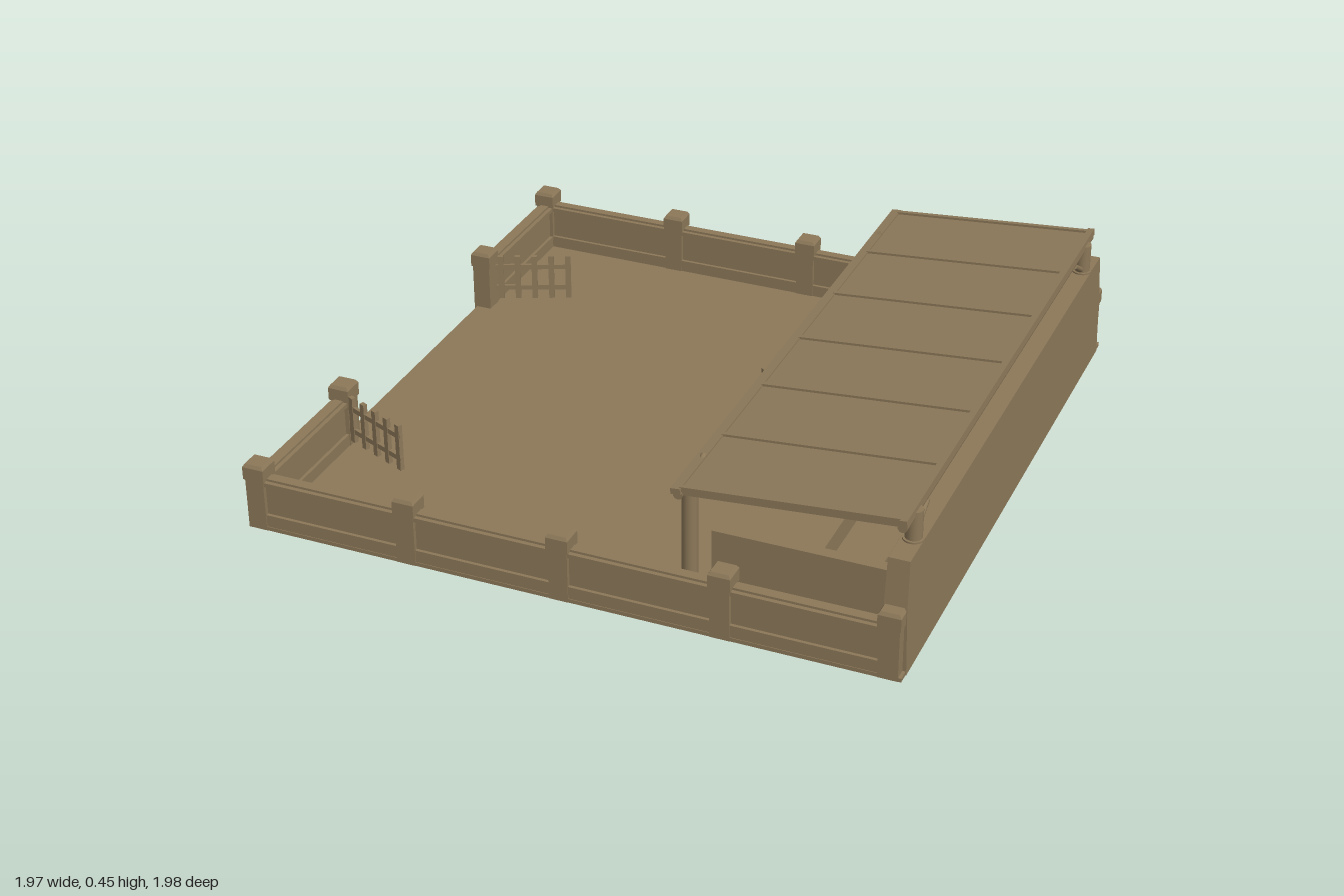
import * as THREE from 'three';

export function createModel() {
  const model = new THREE.Group();
  const clay = new THREE.MeshStandardMaterial({ color: 0x8c7859 });
  clay.name = 'brown clay';

  const add = (name, geo, parent = model) => {
    const mesh = new THREE.Mesh(geo, clay);
    mesh.name = name;
    parent.add(mesh);
    return mesh;
  };
  // Box given by its limits on each axis
  const box = (name, x0, x1, y0, y1, z0, z1, parent) => {
    const m = add(name, new THREE.BoxGeometry(x1 - x0, y1 - y0, z1 - z0), parent);
    m.position.set((x0 + x1) / 2, (y0 + y1) / 2, (z0 + z1) / 2);
    return m;
  };
  // Round bar between two points
  const bar = (name, a, b, r, parent, sides = 10) => {
    const p = new THREE.Vector3(...a), q = new THREE.Vector3(...b);
    const d = q.clone().sub(p);
    const m = add(name, new THREE.CylinderGeometry(r, r, d.length(), sides), parent);
    m.position.copy(p).add(q).multiplyScalar(0.5);
    m.quaternion.setFromUnitVectors(new THREE.Vector3(0, 1, 0), d.normalize());
    return m;
  };
  const lathe = (name, pts, x, z) => {
    const m = add(name, new THREE.LatheGeometry(pts.map(p => new THREE.Vector2(...p)), 28));
    m.position.set(x, 0, z);
    return m;
  };

  // Ground slab
  box('floor', -0.975, 0.98, 0, 0.012, -0.985, 0.985);

  // Fence pillar: square shaft with a chamfered cap
  const pillar = (x, z) => {
    const g = new THREE.Group();
    g.name = 'fencePillar';
    g.position.set(x, 0, z);
    box('pillarShaft', -0.029, 0.029, 0, 0.165, -0.029, 0.029, g);
    box('pillarCap', -0.033, 0.033, 0.16, 0.2, -0.033, 0.033, g);
    const top = add('pillarTop', new THREE.CylinderGeometry(0.038, 0.0467, 0.01, 4).toNonIndexed(), g);
    top.geometry.computeVertexNormals();
    top.rotation.y = Math.PI / 4;
    top.position.y = 0.205;
    model.add(g);
  };

  // Low wall with plinth, recessed panel and coping, running along x
  const lowWall = (length, x, z, turn) => {
    const g = new THREE.Group(), h = length / 2;
    g.name = 'lowWall';
    box('wallPlinth', -h, h, 0, 0.05, -0.026, 0.026, g);
    box('wallPanel', -h, h, 0.05, 0.145, -0.016, 0.016, g);
    box('wallRail', -h, h, 0.145, 0.158, -0.027, 0.027, g);
    box('wallCoping', -h, h, 0.158, 0.165, -0.014, 0.014, g);
    g.position.set(x, 0, z);
    g.rotation.y = turn;
    model.add(g);
  };

  for (const s of [-1, 1]) {
    // Side walls and the short walls beside the entrance
    lowWall(1.9, -0.01, s * 0.957, 0);
    lowWall(0.49, -0.955, s * 0.71, Math.PI / 2);
    for (const x of [-0.957, -0.48, -0.01, 0.465, 0.942]) pillar(x, s * 0.957);
    pillar(-0.955, s * 0.47);

    // Picket gate leaf, standing open
    const gate = new THREE.Group();
    gate.name = 'gate';
    gate.position.set(-0.93, 0, s * 0.49);
    gate.rotation.y = -s * 0.41;
    for (let i = 0; i < 5; i++) {
      const x = 0.02 + i * 0.055;
      box('gatePicket', x - 0.009, x + 0.009, 0.03, 0.182, -0.007, 0.007, gate);
    }
    for (const y of [0.06, 0.135]) box('gateRail', -0.01, 0.25, y, y + 0.016, -0.005, 0.005, gate);
    model.add(gate);

    // Shelter side partition
    box('sidePartition', 0.415, 0.92, 0, 0.293, s * 0.9 - 0.018, s * 0.9 + 0.018);

    // Front posts with collars, and short rear posts on the tall wall
    const z = s * 0.82;
    bar('frontPost', [0.312, 0, z], [0.312, 0.385, z], 0.023, model, 16);
    bar('frontPostCollar', [0.312, 0.342, z], [0.312, 0.35, z], 0.033, model, 16);
    bar('rearPost', [0.945, 0.32, z], [0.945, 0.435, z], 0.024, model, 16);
    bar('rearPostCollar', [0.945, 0.34, z], [0.945, 0.348, z], 0.031, model, 16);
    bar('frontBrace', [0.312, 0.335, z], [0.312, 0.395, s * 0.72], 0.009);
    bar('rearBrace', [0.945, 0.345, z], [0.945, 0.405, s * 0.72], 0.009);
  }

  // Tall end wall with sloping ends, thinner at the top
  const outline = new THREE.Shape([[-0.95, 0], [0.95, 0], [0.95, 0.2], [0.93, 0.343], [-0.93, 0.343], [-0.95, 0.2]]
    .map(p => new THREE.Vector2(...p)));
  const wallGeo = new THREE.ExtrudeGeometry(outline, { depth: 0.07, bevelEnabled: false });
  wallGeo.rotateY(Math.PI / 2).translate(0.912, 0, 0);
  const pos = wallGeo.attributes.position;
  for (let i = 0; i < pos.count; i++) {
    if (pos.getX(i) > 0.95) pos.setX(i, 0.982 - 0.025 * pos.getY(i));
  }
  wallGeo.computeVertexNormals();
  add('tallWall', wallGeo);

  // Sloping lean-to roof with battens and edge beams
  const roof = new THREE.Group();
  roof.name = 'roof';
  roof.position.set(0.63, 0.41, 0);
  roof.rotation.z = Math.atan2(0.052, 0.63);
  box('roofSheet', -0.32, 0.32, -0.006, 0.005, -0.9, 0.9, roof);
  for (let i = -3; i <= 3; i++) {
    const z = i === 0 ? 0 : Math.sign(i) * Math.min(Math.abs(i) * 0.299, 0.895);
    box('roofBatten', -0.315, 0.315, -0.012, 0.012, z - 0.007, z + 0.007, roof);
  }
  box('lowEdgeTrim', -0.338, -0.31, -0.008, 0.01, -0.91, 0.91, roof);
  box('highEdgeTrim', 0.305, 0.325, -0.008, 0.012, -0.91, 0.91, roof);
  model.add(roof);
  bar('frontBeam', [0.312, 0.372, -0.905], [0.312, 0.372, 0.905], 0.014);
  bar('rearBeam', [0.94, 0.422, -0.905], [0.94, 0.422, 0.905], 0.014);

  // Feeding trough under the shelter: floor and four sides
  box('troughBase', 0.61, 0.8, 0.012, 0.03, 0.12, 0.7);
  for (const x of [0.61, 0.785]) box('troughSide', x, x + 0.015, 0.012, 0.1, 0.12, 0.7);
  for (const z of [0.12, 0.685]) box('troughEnd', 0.61, 0.8, 0.012, 0.1, z, z + 0.015);

  // Round ringed tub
  lathe('roundTub', [[0, 0.012], [0.15, 0.012], [0.17, 0.03], [0.17, 0.05], [0.155, 0.058], [0.155, 0.085],
    [0.168, 0.092], [0.168, 0.118], [0.15, 0.13], [0.125, 0.125], [0.12, 0.09], [0, 0.085]], 0.6, -0.5);

  // Bucket beside the front post
  lathe('bucket', [[0, 0.012], [0.05, 0.012], [0.062, 0.11], [0.065, 0.12], [0.056, 0.12], [0.046, 0.03], [0, 0.03]],
    0.32, -0.845);

  // Stool with a padded square seat
  const stool = new THREE.Group();
  stool.name = 'stool';
  stool.position.set(0.2, 0, -0.2);
  const roundedSquare = (h, r) => {
    const s = new THREE.Shape();
    s.absarc(h - r, h - r, r, 0, Math.PI / 2);
    s.absarc(r - h, h - r, r, Math.PI / 2, Math.PI);
    s.absarc(r - h, r - h, r, Math.PI, Math.PI * 1.5);
    s.absarc(h - r, r - h, r, Math.PI * 1.5, Math.PI * 2);
    return s;
  };
  for (const [name, h, y, d] of [['stoolSeat', 0.06, 0.158, 0.015], ['stoolPad', 0.042, 0.173, 0.01]]) {
    const geo = new THREE.ExtrudeGeometry(roundedSquare(h, 0.018), { depth: d, bevelEnabled: false, curveSegments: 4 });
    add(name, geo.rotateX(-Math.PI / 2).translate(0, y, 0), stool);
  }
  for (const sx of [-1, 1]) for (const sz of [-1, 1]) {
    bar('stoolLeg', [sx * 0.046, 0.01, sz * 0.046], [sx * 0.04, 0.16, sz * 0.04], 0.007, stool, 8);
  }
  model.add(stool);

  return model;
}
